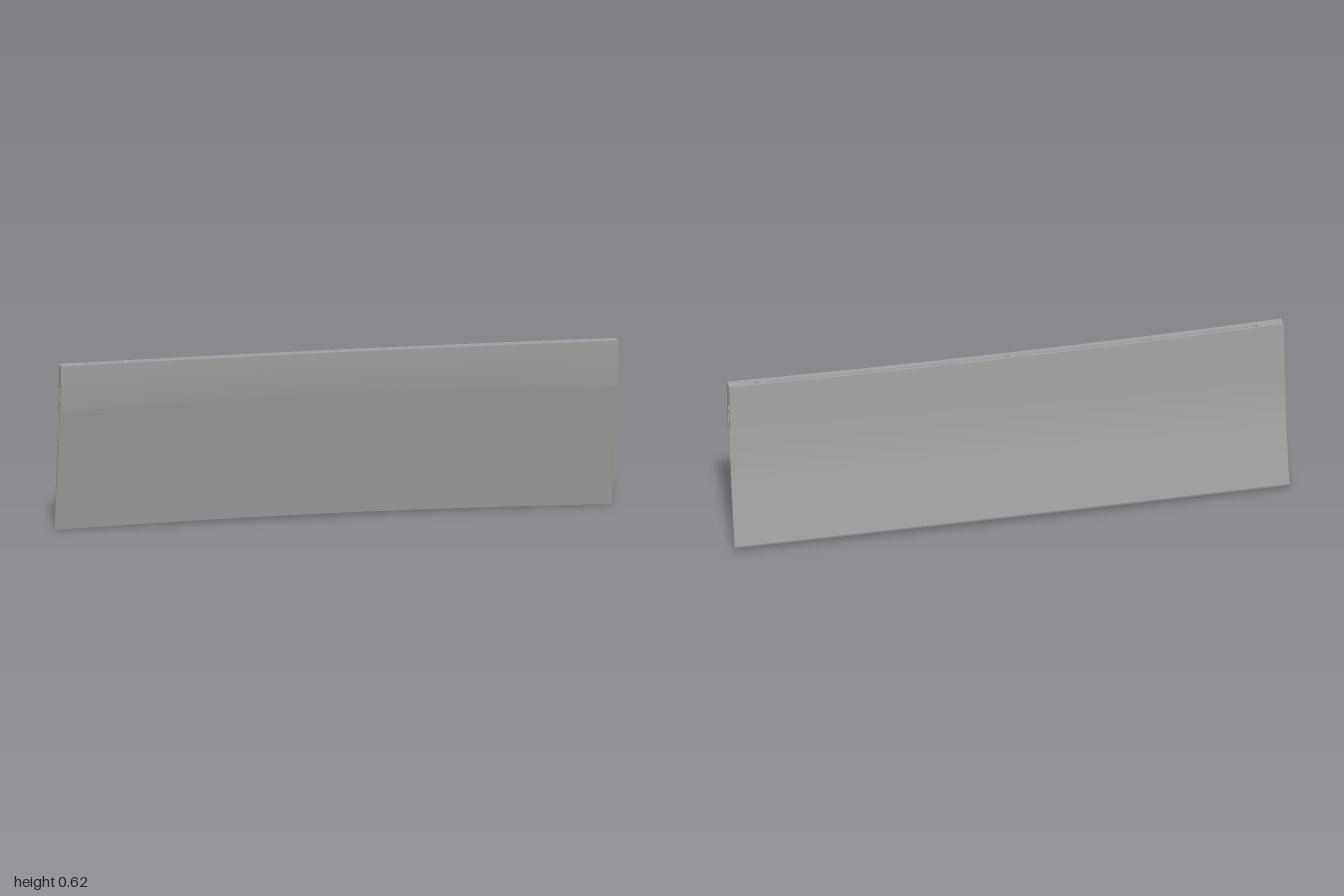
import * as THREE from 'three';

const V2 = (a, b) => new THREE.Vector2(a, b);
const TOP = 0.617;

// Sideways bow of the panel: the middle sits further back than the ends
const bow = (x) => -0.02 * (1 - x * x);

// Profile curves as (z, y) at the ends of the panel
const frontUpper = new THREE.QuadraticBezierCurve(V2(0.075, TOP), V2(0.0715, 0.53), V2(0.059, 0.445)).getPoints(8);
const frontLower = [V2(0.059, 0.445), V2(0.026, 0.297), V2(-0.007, 0.148), V2(-0.039, 0)];
const lip = new THREE.SplineCurve([V2(-0.039, 0), V2(-0.044, 0.003), V2(-0.05, 0.008), V2(-0.053, 0.018)]).getPoints(8);
const back = new THREE.SplineCurve([V2(-0.053, 0.018), V2(-0.021, 0.156), V2(0.009, 0.316), V2(0.025, 0.477), V2(0.035, TOP)]).getPoints(20);

// The lower edge and the front crease arch up a little towards the middle
const lowerLift = (y) => 0.01 * (1 - y / TOP);
const creaseLift = (y) => (y > 0.445 ? 0.025 * (TOP - y) / (TOP - 0.445) : 0.01 + 0.015 * y / 0.445);

function sweep(profile, lift) {
  const n = 40, pos = [], idx = [], m = profile.length;
  for (let i = 0; i <= n; i++) {
    const x = -1 + 2 * i / n;
    for (const p of profile) pos.push(x, p.y + lift(p.y) * (1 - x * x), p.x + bow(x));
  }
  for (let i = 0; i < n; i++) for (let j = 0; j < m - 1; j++) {
    const a = i * m + j, b = a + m;
    idx.push(a, a + 1, b, b, a + 1, b + 1);
  }
  const g = new THREE.BufferGeometry();
  g.setAttribute('position', new THREE.Float32BufferAttribute(pos, 3));
  g.setIndex(idx);
  g.computeVertexNormals();
  return g;
}

// Slot outline of a given half width around a centre line
function slot(line, w) {
  const a = [], b = [];
  line.forEach((p, i) => {
    const d = line[Math.min(i + 1, line.length - 1)].clone().sub(line[Math.max(i - 1, 0)]).normalize();
    a.push(V2(p.x - d.y * w, p.y + d.x * w));
    b.unshift(V2(p.x + d.y * w, p.y - d.x * w));
  });
  return a.concat(b);
}

const circle = (x, y, r) => Array.from({ length: 20 }, (_, i) =>
  V2(x + r * Math.cos(i * Math.PI / 10), y + r * Math.sin(i * Math.PI / 10)));

// Flat face with holes, placed in space by a function of (u, v, depth)
function flatFace(outline, holes, depth, place) {
  const s = new THREE.Shape(outline);
  for (const h of holes) s.holes.push(new THREE.Path(h));
  const g = new THREE.ShapeGeometry(s).toNonIndexed(), p = g.attributes.position;
  for (let i = 0; i < p.count; i++) p.setXYZ(i, ...place(p.getX(i), p.getY(i), depth));
  g.computeVertexNormals();
  return g;
}

// Side walls of a recess from its rim down to its floor
function walls(rim, floor, depth, place) {
  const pos = [];
  rim.forEach((p, i) => {
    const k = (i + 1) % rim.length;
    const a = place(p.x, p.y, 0), b = place(rim[k].x, rim[k].y, 0);
    const c = place(floor[i].x, floor[i].y, depth), d = place(floor[k].x, floor[k].y, depth);
    pos.push(...a, ...b, ...c, ...c, ...b, ...d);
  });
  const g = new THREE.BufferGeometry();
  g.setAttribute('position', new THREE.Float32BufferAttribute(pos, 3));
  g.computeVertexNormals();
  return g;
}

export function createModel() {
  const model = new THREE.Group();
  model.name = 'curvedPanel';
  const grey = new THREE.MeshStandardMaterial({ color: 0xa0a0a0, side: THREE.DoubleSide });
  grey.name = 'grey';
  const add = (name, geometry, parent = model) => {
    const mesh = new THREE.Mesh(geometry, grey);
    mesh.name = name;
    parent.add(mesh);
  };

  // Curved skins
  add('frontUpperFace', sweep(frontUpper, creaseLift));
  add('frontLowerFace', sweep(frontLower, creaseLift));
  add('bottomLip', sweep(lip, lowerLift));
  add('backFace', sweep(back, lowerLift));

  function edge(name, outline, recesses, place) {
    const group = new THREE.Group();
    group.name = name;
    add(name + 'Face', flatFace(outline, recesses.map((r) => r.rim), 0, place), group);
    for (const r of recesses) {
      add(r.name + 'Walls', walls(r.rim, r.floor, r.depth, place), group);
      add(r.name + 'Floor', flatFace(r.floor, [], r.depth, place), group);
    }
    model.add(group);
  }

  // Ends, each with a curved slot and a round peg hole
  const outline = [frontUpper, frontLower, lip, back].flatMap((c) => c.slice(0, -1)).concat(V2(0.035, TOP));
  const endLine = new THREE.QuadraticBezierCurve(V2(0.0465, 0.507), V2(0.038, 0.415), V2(0.021, 0.341)).getPoints(10);
  const endRecesses = [
    { name: 'endSlot', rim: slot(endLine, 0.0075), floor: slot(endLine, 0.003), depth: 0.02 },
    { name: 'endPegHole', rim: circle(0.048, 0.53, 0.009), floor: circle(0.048, 0.53, 0.0075), depth: 0.02 },
  ];
  for (const side of [1, -1]) {
    edge(side > 0 ? 'leftEnd' : 'rightEnd', outline, endRecesses, (z, y, d) => [side * (1 - d), y, z]);
  }

  // Top edge with three peg holes and a long slot between each pair
  const along = (a, b, z, n) => Array.from({ length: n + 1 }, (_, i) => {
    const x = a + (b - a) * i / n;
    return V2(x, z + bow(x));
  });
  const topOutline = along(-1, 1, 0.075, 40).concat(along(1, -1, 0.035, 40));
  const topRecesses = [-0.9, 0, 0.9].map((x) => ({
    name: 'topPegHole', rim: circle(x, 0.05 + bow(x), 0.01), floor: circle(x, 0.05 + bow(x), 0.008), depth: 0.02,
  }));
  for (const s of [-1, 1]) {
    const line = along(s * 0.03, s * 0.87, 0.05, 20);
    topRecesses.push({ name: 'topSlot', rim: slot(line, 0.0075), floor: slot(line, 0.003), depth: 0.02 });
  }
  edge('topEdge', topOutline, topRecesses, (x, z, d) => [x, TOP - d, z]);

  return model;
}
